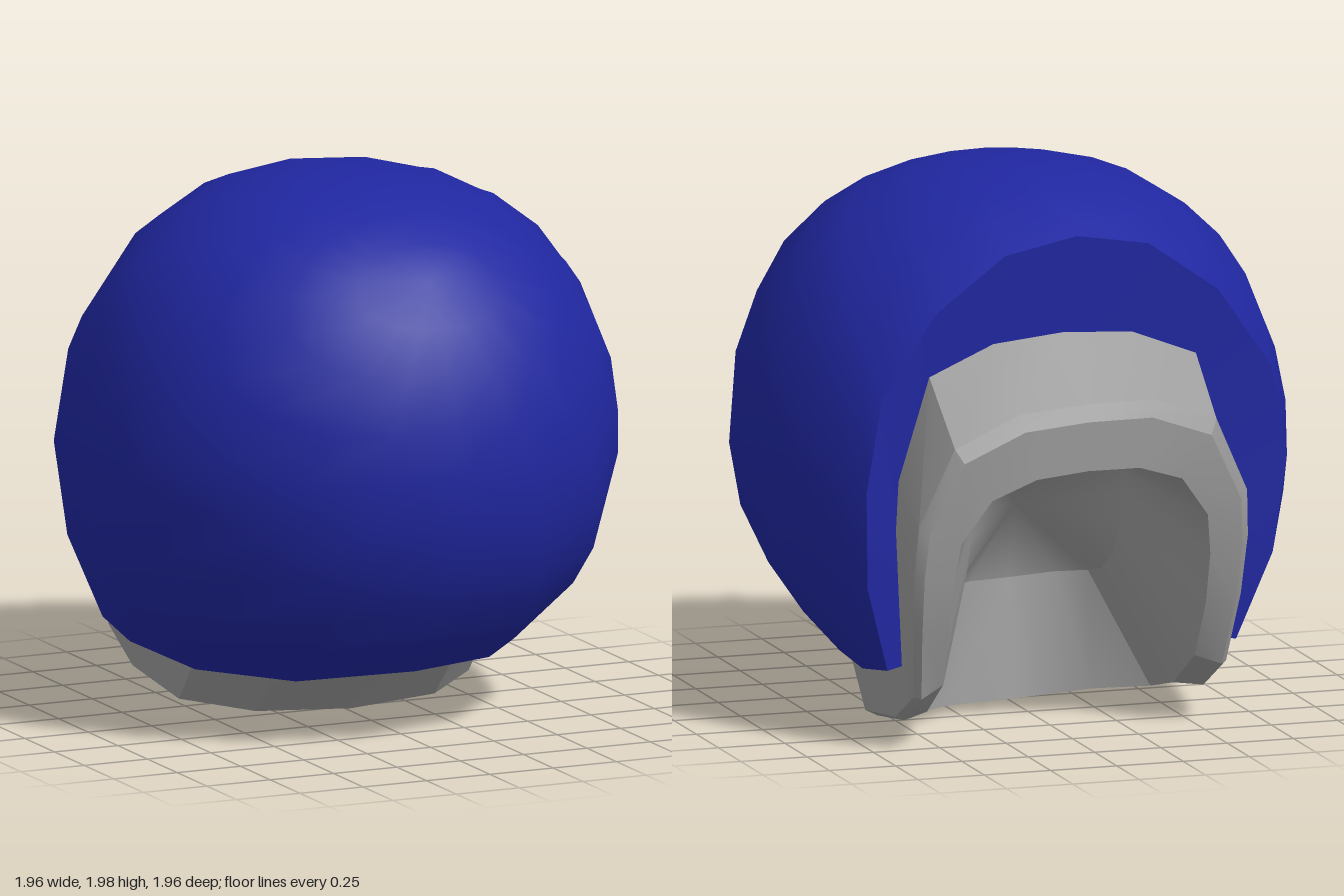
import * as THREE from 'three';
import { mergeVertices, toCreasedNormals } from 'three/addons/utils/BufferGeometryUtils.js';

const V = (x, y, z) => new THREE.Vector3(x, y, z);

// Full closed loop from its +x half, listed from back top over the fold to bottom front.
// The back slants: it lies further back on the +x side.
function mirrorLoop(half) {
  const right = half.map((p) => V(...p));
  const left = right.slice(1, -1).reverse().map((p) => V(-p.x, p.y, p.z));
  return [...right, ...left].map((p) => V(p.x, p.y, p.z - 0.1 * p.x));
}

// Skin a list of equally long closed loops
function loft(loops) {
  const n = loops[0].length;
  const index = [];
  for (let r = 0; r < loops.length - 1; r++) {
    for (let i = 0; i < n; i++) {
      const j = (i + 1) % n;
      const a = r * n + i, b = r * n + j, c = a + n, d = b + n;
      index.push(a, b, d, a, d, c);
    }
  }
  const geo = new THREE.BufferGeometry().setFromPoints(loops.flat());
  geo.setIndex(index);
  return geo;
}

function smooth(geo) {
  const merged = mergeVertices(geo, 1e-4);
  merged.computeVertexNormals();
  return merged;
}

// Slightly squared ball, fuller above than below
function ballRadius(d) {
  const squareness = 1 - (d.x ** 4 + d.y ** 4 + d.z ** 4);
  return 0.985 + squareness * (0.035 + 0.07 * d.y);
}

export function createModel() {
  const group = new THREE.Group();
  const blue = new THREE.MeshStandardMaterial({ color: 0x2027a0 });
  const grey = new THREE.MeshStandardMaterial({ color: 0x9c9c9c });
  const add = (name, geo, mat, parent = group) => {
    const mesh = new THREE.Mesh(geo, mat);
    mesh.name = name;
    parent.add(mesh);
  };

  // Edge of the ball where it is cut flat behind and below, leaning to -x higher up
  const edge = mirrorLoop([
    [0, 1.82, -0.65], [0.28, 1.77, -0.65], [0.55, 1.58, -0.65], [0.76, 1.28, -0.65],
    [0.82, 0.95, -0.65], [0.79, 0.6, -0.65], [0.68, 0.29, -0.63],
    [0.69, 0.25, -0.38], [0.63, 0.225, 0.05], [0.4, 0.23, 0.43], [0, 0.26, 0.62],
  ]);
  edge.forEach((p) => { p.x -= 0.05 * THREE.MathUtils.clamp((p.y - 0.3) / 0.6, 0, 1); });

  // Collar loops: foot on the ball, outer brim and inner brim
  const foot = mirrorLoop([
    [0, 1.47, -0.64], [0.27, 1.45, -0.64], [0.52, 1.35, -0.64], [0.64, 0.98, -0.64],
    [0.65, 0.8, -0.64], [0.64, 0.58, -0.64], [0.62, 0.3, -0.62],
    [0.62, 0.25, -0.38], [0.61, 0.24, 0], [0.38, 0.25, 0.24], [0, 0.25, 0.33],
  ]);
  const outer = mirrorLoop([
    [0, 1.26, -0.91], [0.26, 1.25, -0.91], [0.51, 1.15, -0.9], [0.64, 0.87, -0.87],
    [0.65, 0.7, -0.85], [0.64, 0.48, -0.8], [0.61, 0.22, -0.72],
    [0.61, 0.11, -0.52], [0.6, 0.06, -0.15], [0.37, 0.03, 0.03], [0, 0.018, 0.08],
  ]);
  const inner = mirrorLoop([
    [0, 1.02, -0.93], [0.2, 1.01, -0.93], [0.37, 0.95, -0.92], [0.48, 0.8, -0.89],
    [0.5, 0.65, -0.86], [0.5, 0.46, -0.81], [0.49, 0.25, -0.71],
    [0.48, 0.11, -0.5], [0.46, 0.06, -0.3], [0.28, 0.04, -0.15], [0, 0.025, -0.1],
  ]);
  // Brims sit slightly lower on the +x side
  [outer, inner].forEach((loop) => loop.forEach((p) => { p.y -= 0.025 * p.x; }));

  // Ball: rings swept from a front-top pole to the edge, bulging only at the fold corners
  const centre = V(0, 1, 0);
  const pole = V(0, 0.69, 0.72).normalize();
  const RINGS = 9;
  const rings = [];
  for (let r = 0; r <= RINGS; r++) {
    const s = r / RINGS;
    rings.push(edge.map((p) => {
      const rim = p.clone().sub(centre);
      const rimRadius = rim.length();
      rim.normalize();
      const axis = pole.clone().cross(rim).normalize();
      const dir = pole.clone().applyAxisAngle(axis, pole.angleTo(rim) * s);
      const radius = THREE.MathUtils.lerp(ballRadius(dir), rimRadius, s ** 9);
      return dir.multiplyScalar(radius).add(centre);
    }));
  }
  add('ballShell', smooth(loft(rings)), blue);

  // Flat faces between the ball's edge and the collar
  add('flatLip', toCreasedNormals(loft([edge, foot]), 0.6), blue);

  // Collar wall with a bevelled brim, and the hollow inside it
  const collar = new THREE.Group();
  collar.name = 'collar';
  group.add(collar);
  const bevel = outer.map((p, i) => p.clone().lerp(inner[i], 0.2).add(V(0, -0.012, -0.025)));
  add('collarRim', toCreasedNormals(loft([foot, outer, bevel, inner]), 0.4), grey, collar);

  const floor = inner.map((p) => p.clone().lerp(V(0, 1.05, 0.05), 0.42));
  const deep = V(0, 0.74, -0.1);
  add('openingWall', toCreasedNormals(loft([inner, floor]), 0.6), grey, collar);
  add('hollow', smooth(loft([floor, floor.map(() => deep.clone())])), grey, collar);

  return group;
}
